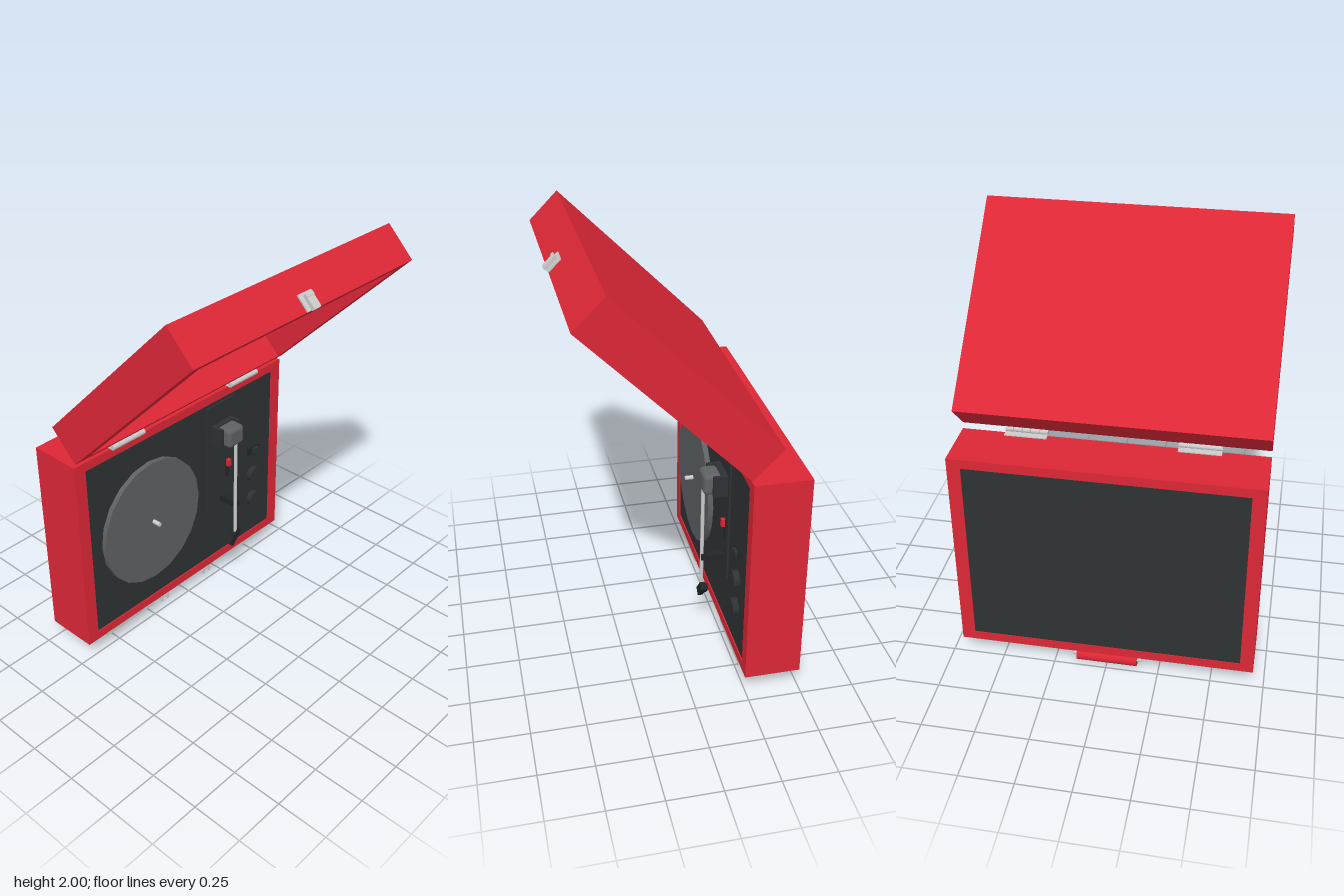
import * as THREE from 'three';
import { RoundedBoxGeometry } from 'three/addons/geometries/RoundedBoxGeometry.js';

const mat = (color, extra = {}) => new THREE.MeshStandardMaterial({ color, ...extra });
const RED = mat(0xdc2736);
const DARK = mat(0x2e3234);
const BLACK = mat(0x222527);
const GREY = mat(0x5d6265);
const METAL = mat(0xcccccc);

const W = 1.395, H = 1.025;      // case width and height
const RIM_X = 0.0625, RIM_Y = 0.045;
const FACE = -0.245;             // z of the base's front face

function add(parent, name, geometry, material, x = 0, y = 0, z = 0) {
  const mesh = new THREE.Mesh(geometry, material);
  mesh.name = name;
  mesh.position.set(x, y, z);
  parent.add(mesh);
  return mesh;
}

// Box given by its min and max on each axis
function box(parent, name, material, [x0, x1], [y0, y1], [z0, z1]) {
  return add(parent, name, new THREE.BoxGeometry(x1 - x0, y1 - y0, z1 - z0), material,
    (x0 + x1) / 2, (y0 + y1) / 2, (z0 + z1) / 2);
}

// Cylinder along x or z
function rod(parent, name, material, axis, r, length, x, y, z, sides = 20) {
  const g = new THREE.CylinderGeometry(r, r, length, sides);
  if (axis === 'x') g.rotateZ(Math.PI / 2);
  if (axis === 'z') g.rotateX(Math.PI / 2);
  return add(parent, name, g, material, x, y, z);
}

// Rectangular ring of walls, standing on y = 0, extruded towards +z
function frameGeometry(depth) {
  const rect = (path, x, y0, y1) =>
    path.moveTo(-x, y0).lineTo(x, y0).lineTo(x, y1).lineTo(-x, y1).closePath();
  const shape = rect(new THREE.Shape(), W / 2, 0, H);
  shape.holes.push(rect(new THREE.Path(), W / 2 - RIM_X, RIM_Y, H - RIM_Y));
  return new THREE.ExtrudeGeometry(shape, { depth, bevelEnabled: false });
}

function makeBase() {
  const base = new THREE.Group();
  base.name = 'base';
  add(base, 'baseWalls', frameGeometry(0.26), RED, 0, 0.09, -0.505);
  const px = [-W / 2 + RIM_X, W / 2 - RIM_X], py = [0.135, 1.07];
  box(base, 'deckPanel', DARK, px, py, [-0.28, FACE - 0.006]);
  box(base, 'backPanel', DARK, px, py, [-0.502, -0.48]);
  return base;
}

function makeLid() {
  const lid = new THREE.Group();
  lid.name = 'lid';
  lid.position.set(0, 1.14, -0.235);
  lid.rotation.x = Math.PI / 4;
  add(lid, 'lidWalls', frameGeometry(0.155), RED, 0, 0, -0.155);
  box(lid, 'lidTop', RED, [-W / 2, W / 2], [0, H], [-0.192, -0.155]);
  // Latch on the lid's free edge
  box(lid, 'latchPlate', METAL, [-0.042, 0.042], [H, H + 0.008], [-0.08, 0]);
  box(lid, 'latchClasp', METAL, [-0.02, 0.02], [H + 0.008, H + 0.024], [-0.065, 0.005]);
  box(lid, 'latchPull', METAL, [-0.024, 0.024], [H + 0.014, H + 0.028], [-0.068, -0.052]);
  return lid;
}

function makeDeck() {
  const deck = new THREE.Group();
  deck.name = 'deck';
  // Platter and spindle
  rod(deck, 'platter', GREY, 'z', 0.335, 0.025, -0.255, 0.605, -0.236, 20).geometry.scale(0.94, 1, 1);
  rod(deck, 'spindle', METAL, 'z', 0.011, 0.045, -0.255, 0.605, -0.205, 12);

  // Tonearm plate, pivot and arm
  box(deck, 'tonearmPlate', DARK, [0.15, 0.345], [0.4, 1.05], [-0.255, FACE + 0.003]);
  box(deck, 'pivotBase', DARK, [0.177, 0.323], [0.84, 0.943], [FACE, -0.215]);
  for (const x of [0.186, 0.314])
    box(deck, 'pivotCheek', DARK, [x - 0.009, x + 0.009], [0.84, 0.943], [-0.215, -0.175]);
  add(deck, 'pivotBlock', new RoundedBoxGeometry(0.11, 0.105, 0.085, 3, 0.022), GREY, 0.25, 0.892, -0.177);
  const arm = new THREE.LineCurve3(new THREE.Vector3(0.25, 0.86, -0.145), new THREE.Vector3(0.25, 0.31, -0.145));
  add(deck, 'tonearm', new THREE.TubeGeometry(arm, 1, 0.009, 12), METAL);
  const head = new THREE.Group();
  head.name = 'headshell';
  head.position.set(0.247, 0.283, -0.152);
  head.rotation.z = -0.7;
  box(head, 'headshellBody', BLACK, [-0.02, 0.02], [-0.055, 0.045], [-0.008, 0.016]);
  box(head, 'cartridge', BLACK, [-0.015, 0.015], [-0.03, 0.03], [-0.022, -0.008]);
  deck.add(head);

  // Arm rest: post, shelf and clip
  box(deck, 'armRestPost', BLACK, [0.24, 0.285], [0.465, 0.495], [FACE, -0.162]);
  box(deck, 'armRestClip', BLACK, [0.263, 0.275], [0.465, 0.495], [-0.162, -0.138]);

  // Cue lever in its slot
  box(deck, 'leverSlot', BLACK, [0.28, 0.306], [0.595, 0.7], [FACE, -0.239]);
  box(deck, 'lever', RED, [0.282, 0.304], [0.662, 0.7], [-0.24, -0.222]);

  // Switch and knobs
  box(deck, 'switchFrame', BLACK, [0.46, 0.545], [0.637, 0.678], [-0.255, -0.238]);
  box(deck, 'switchRocker', DARK, [0.485, 0.525], [0.642, 0.673], [-0.24, -0.225]);
  for (const y of [0.507, 0.352])
    rod(deck, 'knob', DARK, 'z', 0.042, 0.03, 0.5, y, -0.237, 24);
  return deck;
}

function makeHinge(x) {
  const hinge = new THREE.Group();
  hinge.name = 'hinge';
  for (let i = -2; i <= 2; i++)
    rod(hinge, 'hingeKnuckle', METAL, 'x', 0.014, 0.037, x + i * 0.0395, 1.129, -0.232, 12);
  rod(hinge, 'hingePin', METAL, 'x', 0.008, 0.195, x, 1.129, -0.232, 10);
  box(hinge, 'hingeLeaf', METAL, [x - 0.097, x + 0.097], [1.114, 1.12], [-0.275, -0.232]);
  return hinge;
}

function makeUnderside() {
  const under = new THREE.Group();
  under.name = 'underside';
  for (const s of [-1, 1]) {
    const span = (a, b) => (s > 0 ? [a, b] : [-b, -a]);
    box(under, 'footPlate', METAL, span(0.255, 0.585), [0.073, 0.091], [-0.455, -0.245]);
    // Handle bracket: mounting plate, two cheeks and a swinging arm
    box(under, 'bracketPlate', METAL, span(0.11, 0.215), [0.072, 0.091], [-0.335, -0.262]);
    for (const x of [0.137, 0.176])
      box(under, 'bracketCheek', METAL, span(x - 0.006, x + 0.006), [0.028, 0.073], [-0.328, -0.266]);
    box(under, 'handleArm', METAL, span(0.146, 0.166), [0.03, 0.047], [-0.455, -0.29]);
  }
  rod(under, 'handleGrip', RED, 'x', 0.033, 0.29, 0, 0.033, -0.452, 20);
  rod(under, 'handleRod', METAL, 'x', 0.014, 0.33, 0, 0.036, -0.452, 12);
  // Catch for the lid latch
  box(under, 'catchPlate', METAL, [-0.022, 0.022], [0.08, 0.091], [-0.32, -0.25]);
  box(under, 'catchHook', METAL, [-0.018, 0.018], [0.068, 0.08], [-0.285, -0.27]);
  return under;
}

export function createModel() {
  const model = new THREE.Group();
  model.name = 'recordPlayer';
  model.add(makeBase(), makeLid(), makeDeck(), makeHinge(-0.385), makeHinge(0.4), makeUnderside());
  return model;
}
